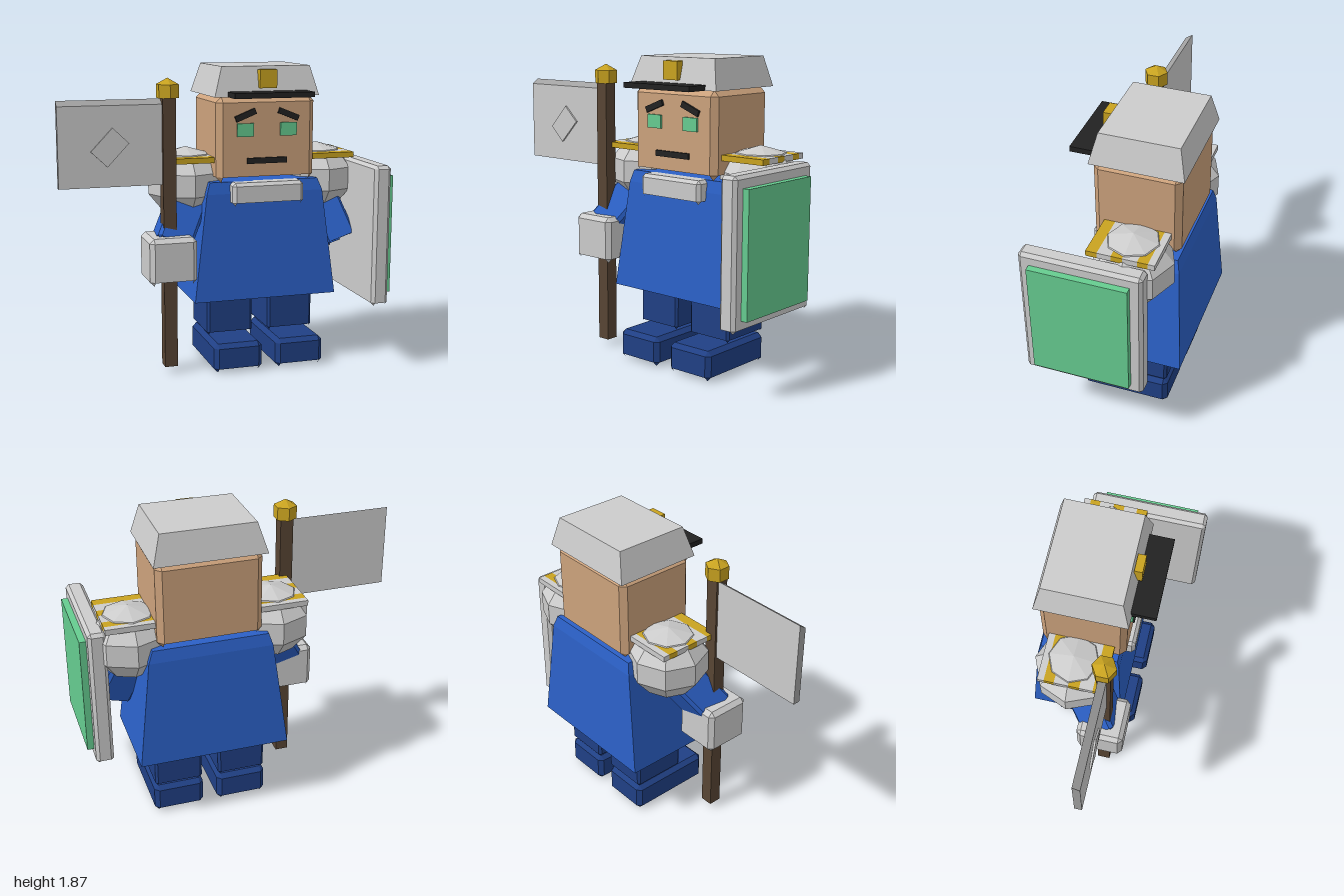
import * as THREE from 'three';

const mat = (name, color) => {
  const m = new THREE.MeshStandardMaterial({ color, side: THREE.DoubleSide, flatShading: true });
  m.name = name;
  return m;
};

// Geometry from quads/triangles, each wound away from the local origin
function facesGeometry(faces) {
  const pos = [];
  const n = new THREE.Vector3(), e = new THREE.Vector3(), mid = new THREE.Vector3();
  for (const face of faces) {
    const v = face.map(p => new THREE.Vector3(...p));
    n.subVectors(v[1], v[0]).cross(e.subVectors(v[2], v[0]));
    mid.set(0, 0, 0);
    v.forEach(p => mid.add(p));
    if (n.dot(mid) < 0) v.reverse();
    for (let i = 1; i < v.length - 1; i++) [v[0], v[i], v[i + 1]].forEach(p => pos.push(p.x, p.y, p.z));
  }
  const g = new THREE.BufferGeometry();
  g.setAttribute('position', new THREE.Float32BufferAttribute(pos, 3));
  g.computeVertexNormals();
  return g;
}

// Chamfered box with a hollow, flat-rimmed underside and small corner feet
function chamferBox(w, h, d, c) {
  const half = [w / 2, h / 2, d / 2], S = [-1, 1], faces = [];
  const p = (axis, s) => s.map((k, i) => k * (half[i] - (i === axis ? 0 : c)));
  for (let a = 0; a < 3; a++) {
    const b = (a + 1) % 3, e = (a + 2) % 3;
    const at = (sa, sb, se) => { const s = []; s[a] = sa; s[b] = sb; s[e] = se; return s; };
    for (const s of S) {
      if (!(a === 1 && s < 0)) {
        faces.push([[-1, -1], [1, -1], [1, 1], [-1, 1]].map(q => p(a, at(s, q[0], q[1]))));
      }
      for (const t of S) {
        const s1 = at(s, t, -1), s2 = at(s, t, 1);
        if ((a === 1 && s < 0) || (b === 1 && t < 0)) {
          const side = a === 1 ? b : a;
          const inner = q => { const r = p(1, q); r[1] = -half[1] + c; return r; };
          faces.push([p(side, s1), p(side, s2), inner(s2), inner(s1)]);
        } else faces.push([p(a, s1), p(a, s2), p(b, s2), p(b, s1)]);
      }
    }
  }
  for (const x of S) for (const y of S) for (const z of S) {
    faces.push([0, 1, 2].map(a => p(a, [x, y, z])));
  }
  return facesGeometry(faces);
}

// Rectangular loft; each section is [y, x0, x1, z0, z1]
function loft(sections, capBottom) {
  const cy = (sections[0][0] + sections[sections.length - 1][0]) / 2;
  const cx = 0.26, cz = -0.14;
  const rings = sections.map(([y, x0, x1, z0, z1]) =>
    [[x0, z0], [x1, z0], [x1, z1], [x0, z1]].map(([x, z]) => [x - cx, y - cy, z - cz]));
  const faces = [rings[rings.length - 1]];
  if (capBottom) faces.push(rings[0]);
  for (let i = 0; i < rings.length - 1; i++) for (let k = 0; k < 4; k++) {
    const j = (k + 1) % 4;
    faces.push([rings[i][k], rings[i][j], rings[i + 1][j], rings[i + 1][k]]);
  }
  return facesGeometry(faces).translate(cx, cy, cz);
}

export function createModel() {
  const root = new THREE.Group();
  const blue = mat('tunic blue', 0x2b60c6), navy = mat('navy', 0x204085), skin = mat('skin', 0xcca27c);
  const steel = mat('steel', 0xcccccc), gold = mat('gold', 0xc9a320), wood = mat('wood', 0x584534);
  const black = mat('black', 0x222222), green = mat('green', 0x66cc90), edge = mat('flag edge', 0xa2a2a2);

  const add = (name, geo, m, x = 0, y = 0, z = 0) => {
    const mesh = new THREE.Mesh(geo, m);
    mesh.name = name;
    mesh.position.set(x, y, z);
    root.add(mesh);
    return mesh;
  };
  // Boxes given by their limits on each axis
  const box = (name, m, x0, x1, y0, y1, z0, z1, c = 0) => add(name,
    c ? chamferBox(x1 - x0, y1 - y0, z1 - z0, c) : new THREE.BoxGeometry(x1 - x0, y1 - y0, z1 - z0),
    m, (x0 + x1) / 2, (y0 + y1) / 2, (z0 + z1) / 2);

  // Legs and boots
  for (const cx of [0.063, 0.463]) {
    box('boot', navy, cx - 0.155, cx + 0.155, 0, 0.183, -0.325, 0.22, 0.027);
    box('leg', navy, cx - 0.148, cx + 0.148, 0.193, 0.5, -0.32, 0.03, 0.015);
  }

  // Tunic and collar
  add('tunic', loft([
    [0.44, -0.195, 0.72, -0.437, 0.145],
    [1.10, -0.108, 0.64, -0.397, 0.105],
    [1.172, -0.085, 0.612, -0.38, 0.09]], true), blue);
  box('collar', steel, 0.04, 0.495, 1.03, 1.172, 0.05, 0.17, 0.02);

  // Head and face
  box('head', skin, -0.05, 0.575, 1.17, 1.69, -0.38, 0.13, 0.035);
  box('mouth', black, 0.137, 0.39, 1.285, 1.32, 0.125, 0.143);
  for (const s of [-1, 1]) {
    const ex = 0.262 + s * 0.137;
    box('eye', green, ex - 0.052, ex + 0.052, 1.45, 1.53, 0.125, 0.143);
    const brow = add('eyebrow', new THREE.BoxGeometry(0.135, 0.036, 0.02), black, 0.262 + s * 0.137, 1.58, 0.135);
    brow.rotation.z = -s * 0.38;
  }

  // Helmet, visor and badge
  add('helmet', loft([
    [1.69, -0.07, 0.592, -0.402, 0.145],
    [1.87, -0.015, 0.545, -0.363, 0.1]], false), steel);
  box('visor', black, 0.012, 0.51, 1.69, 1.722, 0.12, 0.283);
  box('badge', gold, 0.208, 0.316, 1.74, 1.85, 0.11, 0.158);

  // Shoulder balls with striped plates
  const stripes = [-0.33, -0.29, -0.23, -0.145, -0.08, 0, 0.065];
  for (const cx of [-0.175, 0.695]) {
    const ball = add('shoulderBall', new THREE.SphereGeometry(0.25, 8, 5), steel, cx, 1.15, -0.15);
    ball.scale.y = 0.88;
    for (let i = 0; i < 6; i++) {
      box('shoulderPlate', i % 2 ? gold : steel, cx - 0.17, cx + 0.17, 1.288, 1.322, stripes[i], stripes[i + 1]);
    }
  }

  // Arms run from shoulder to wrist
  const arm = (name, from, to, width) => {
    const a = new THREE.Vector3(...from), b = new THREE.Vector3(...to);
    const dir = b.clone().sub(a), mid = a.clone().add(b).multiplyScalar(0.5);
    const m = add(name, chamferBox(width, dir.length(), width, 0.02), blue, mid.x, mid.y, mid.z);
    m.quaternion.setFromUnitVectors(new THREE.Vector3(0, 1, 0), dir.normalize().negate());
  };
  arm('rightArm', [-0.13, 1.12, -0.15], [-0.34, 0.77, 0.06], 0.22);
  arm('leftArm', [0.66, 1.12, -0.15], [0.79, 0.73, 0.02], 0.21);
  box('rightHand', steel, -0.485, -0.195, 0.575, 0.865, -0.08, 0.21, 0.027);

  // Shield
  box('shield', steel, 0.85, 0.957, 0.41, 1.28, -0.29, 0.432, 0.02);
  box('shieldPanel', green, 0.95, 0.997, 0.48, 1.21, -0.22, 0.365);

  // Flag pole with hexagonal finial
  box('pole', wood, -0.38, -0.3, 0.04, 1.69, 0.033, 0.113);
  add('finial', new THREE.CylinderGeometry(0.07, 0.07, 0.08, 6), gold, -0.34, 1.73, 0.07);
  add('finialTip', new THREE.ConeGeometry(0.07, 0.038, 6), gold, -0.34, 1.789, 0.07);

  // Flag with a sloped top edge
  const flag = new THREE.BoxGeometry(0.64, 0.51, 0.045);
  const fp = flag.attributes.position;
  for (let i = 0; i < fp.count; i++) if (fp.getY(i) > 0 && fp.getZ(i) > 0) fp.setY(i, 0.225);
  flag.computeVertexNormals();
  add('flag', flag, [edge, edge, edge, edge, steel, steel], -0.68, 1.43, 0.068);
  const emblem = add('flagDiamond', new THREE.BoxGeometry(0.19, 0.135, 0.012), steel, -0.695, 1.41, 0.096);
  emblem.rotation.z = 0.81;

  return root;
}
